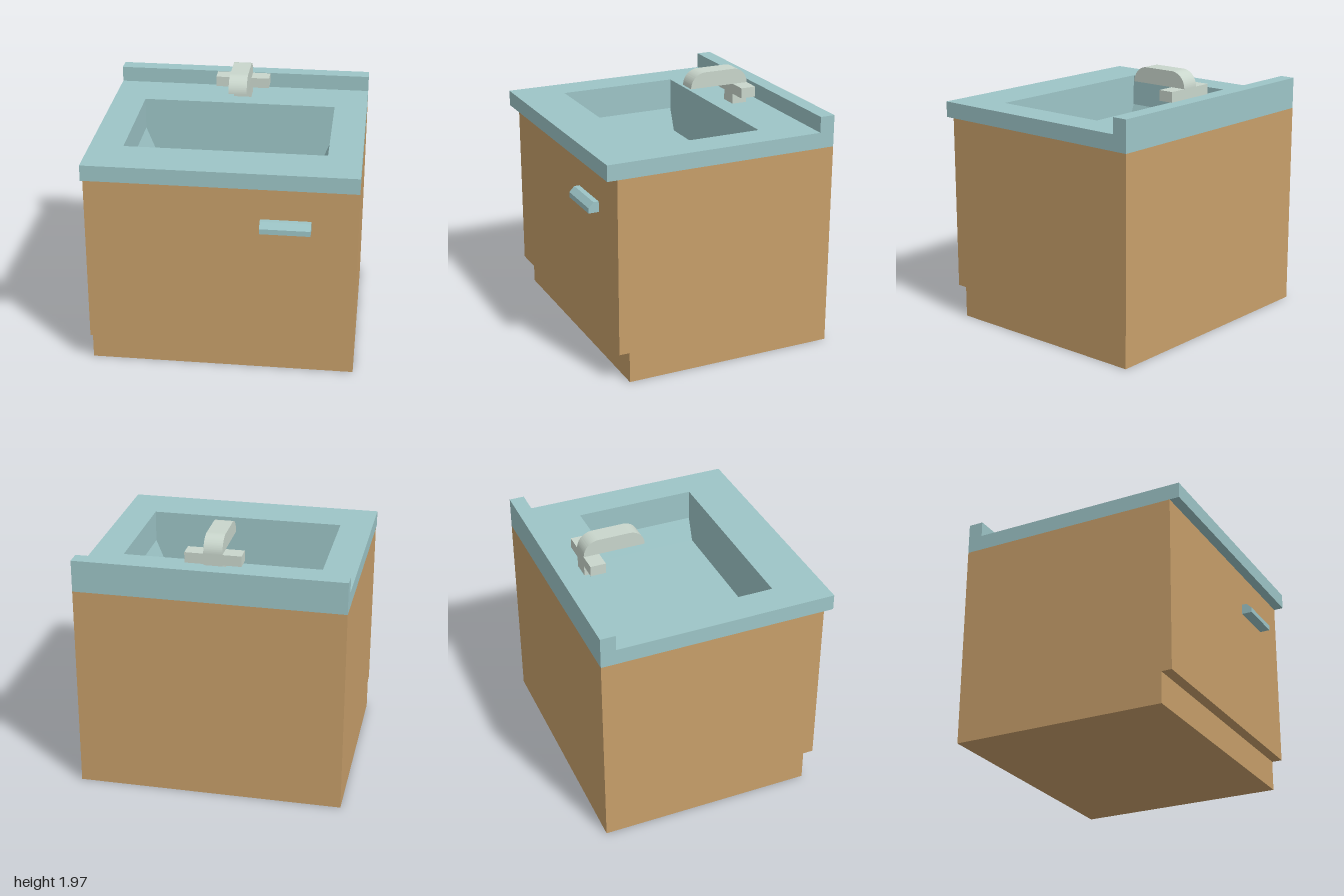
import * as THREE from 'three';
import { toCreasedNormals } from 'three/addons/utils/BufferGeometryUtils.js';

const paint = (name, color) => {
  const m = new THREE.MeshStandardMaterial({ color });
  m.name = name;
  return m;
};

const polygon = (points) => new THREE.Shape(points.map(([a, b]) => new THREE.Vector2(a, b)));
const rect = (a0, b0, a1, b1) => polygon([[a0, b0], [a1, b0], [a1, b1], [a0, b1]]);
const extrude = (shape, depth) =>
  new THREE.ExtrudeGeometry(shape, { depth, bevelEnabled: false, curveSegments: 16 });

// Box given by its low and high corners
function boxBetween([x0, y0, z0], [x1, y1, z1]) {
  return new THREE.BoxGeometry(x1 - x0, y1 - y0, z1 - z0)
    .translate((x0 + x1) / 2, (y0 + y1) / 2, (z0 + z1) / 2);
}

// Horizontal slab with a rectangular opening; rectangles are [x0, z0, x1, z1]
function slabWithOpening(outer, hole, y0, y1) {
  const plan = ([x0, z0, x1, z1]) => rect(x0, -z1, x1, -z0);
  const shape = plan(outer);
  shape.holes.push(plan(hole));
  return extrude(shape, y1 - y0).rotateX(-Math.PI / 2).translate(0, y0, 0);
}

// Side profile drawn in (z, y), swept from x0 to x1
const sweepX = (shape, x0, x1) =>
  extrude(shape, x1 - x0).rotateY(-Math.PI / 2).translate(x1, 0, 0);

export function createModel() {
  const wood = paint('wood', 0xc79f6a);
  const counterColor = paint('counter teal', 0x9dc5c7);
  const metal = paint('tap metal', 0xc9d6cc);

  const model = new THREE.Group();
  model.name = 'sinkCabinet';
  const add = (name, geometry, material, parent = model) => {
    const mesh = new THREE.Mesh(geometry, material);
    mesh.name = name;
    parent.add(mesh);
  };

  // Cabinet, hollow where the basin hangs, on a recessed base
  add('cabinetBody', slabWithOpening([-1, -0.9, 1, 0.825], [-0.79, -0.45, 0.79, 0.56], 0.235, 1.57), wood);
  add('cabinetBase', boxBetween([-1, 0, -0.9], [1, 0.235, 0.745]), wood);

  // Countertop with basin opening, and the raised back edge
  add('countertop', slabWithOpening([-1, -0.9, 1, 0.9], [-0.75, -0.41, 0.75, 0.525], 1.57, 1.69), counterColor);
  add('backsplash', boxBetween([-1, 1.69, -0.9], [1, 1.81, -0.785]), counterColor);

  // Basin: trough with sloping lower ends, closed by front and back walls
  const inner = [[-0.75, 1.57], [-0.75, 1.445], [-0.68, 1.27], [0.68, 1.27], [0.75, 1.445], [0.75, 1.57]];
  const outer = [[-0.77, 1.57], [-0.77, 1.44], [-0.695, 1.25], [0.695, 1.25], [0.77, 1.44], [0.77, 1.57]];
  const basin = new THREE.Group();
  basin.name = 'basin';
  model.add(basin);
  add('basinTrough', extrude(polygon([...outer, ...inner.slice().reverse()]), 0.935).translate(0, 0, -0.41), counterColor, basin);
  add('basinBackWall', extrude(polygon(outer), 0.02).translate(0, 0, -0.43), counterColor, basin);
  add('basinFrontWall', extrude(polygon(outer), 0.02).translate(0, 0, 0.525), counterColor, basin);

  // Door handle with a chamfered upper edge
  const grip = polygon([[0.825, 1.22], [0.905, 1.22], [0.905, 1.26], [0.865, 1.3], [0.825, 1.3]]);
  add('doorHandle', sweepX(grip, 0.29, 0.66), counterColor);

  // Tap: post, crossbar and rounded spout
  const tap = new THREE.Group();
  tap.name = 'tap';
  model.add(tap);
  add('tapPost', boxBetween([-0.06, 1.69, -0.67], [0.08, 1.77, -0.55]), metal, tap);
  add('tapCrossbar', boxBetween([-0.2, 1.77, -0.67], [0.22, 1.85, -0.55]), metal, tap);
  const spout = new THREE.Shape();
  spout.moveTo(-0.67, 1.85);
  spout.lineTo(-0.19, 1.85);
  spout.absarc(-0.31, 1.85, 0.12, 0, Math.PI / 2, false);
  spout.lineTo(-0.55, 1.97);
  spout.absarc(-0.55, 1.85, 0.12, Math.PI / 2, Math.PI, false);
  add('tapSpout', toCreasedNormals(sweepX(spout, -0.06, 0.08), 0.6), metal, tap);

  return model;
}
